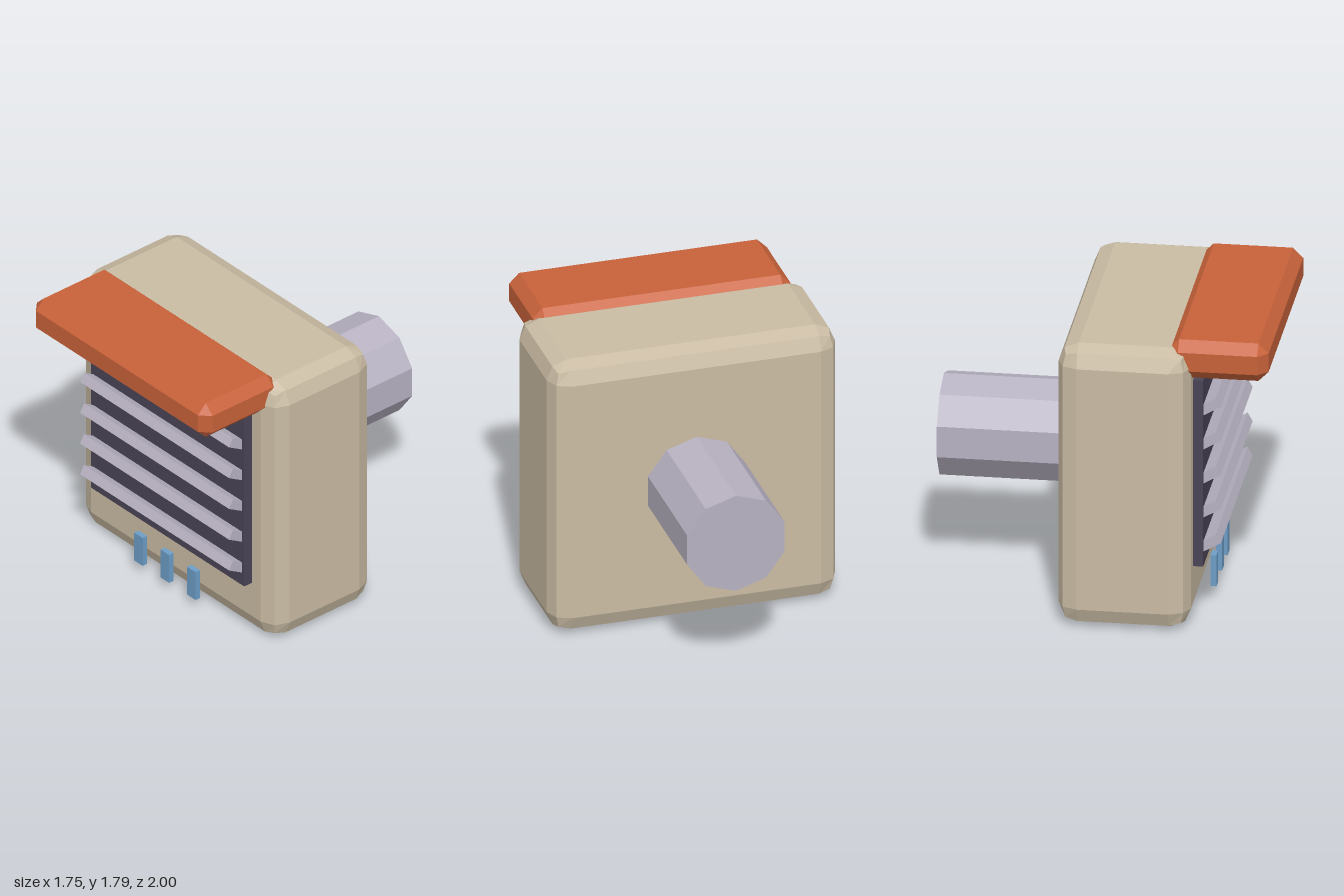
import * as THREE from 'three';
import { RoundedBoxGeometry } from 'three/addons/geometries/RoundedBoxGeometry.js';
import { ConvexGeometry } from 'three/addons/geometries/ConvexGeometry.js';

const flat = (name, color) => {
  const m = new THREE.MeshStandardMaterial({ color, flatShading: true });
  m.name = name;
  return m;
};

// Box with every edge cut once at 45 degrees
function chamferedBox(w, h, d, c) {
  const pts = [];
  const half = [w / 2, h / 2, d / 2];
  for (const sx of [-1, 1]) for (const sy of [-1, 1]) for (const sz of [-1, 1]) {
    for (let axis = 0; axis < 3; axis++) {
      const p = half.map((v, i) => (i === axis ? v : v - c));
      pts.push(new THREE.Vector3(p[0] * sx, p[1] * sy, p[2] * sz));
    }
  }
  return new ConvexGeometry(pts);
}

export function createModel() {
  const group = new THREE.Group();
  const beige = flat('beige', 0xcabca4);
  const orange = flat('orange', 0xc8623a);
  const darkPurple = flat('dark purple', 0x4a4456);
  const paleGrey = flat('pale grey', 0xb8b2c2);
  const blue = flat('blue', 0x6c9dc6);

  const add = (name, geometry, material, x, y, z) => {
    const mesh = new THREE.Mesh(geometry, material);
    mesh.name = name;
    mesh.position.set(x, y, z);
    group.add(mesh);
    return mesh;
  };

  // Housing
  add('body', new RoundedBoxGeometry(1.745, 1.75, 0.775, 1, 0.12), beige, 0, 0.875, 0.164);

  // Overhanging hood
  add('hood', chamferedBox(1.56, 0.235, 0.583, 0.06), orange, 0, 1.673, 0.7085);

  // Grille panel with tilted slats
  add('grillePanel', new THREE.BoxGeometry(1.36, 1.167, 0.08), darkPurple, 0, 0.936, 0.572);
  const slat = new THREE.BoxGeometry(1.324, 0.06, 0.14);
  for (let i = 0; i < 5; i++) {
    add('slat', slat, paleGrey, 0, 1.345 - i * 0.214, 0.637).rotation.x = -Math.PI / 6;
  }

  // Three small tabs under the grille
  const tab = new THREE.BoxGeometry(0.077, 0.193, 0.034);
  for (const i of [-1, 0, 1]) add('tab', tab, blue, i * 0.235 - 0.002, 0.157, 0.615);

  // Ten-sided exhaust pipe at the back
  const pipe = new THREE.CylinderGeometry(0.31, 0.31, 0.85, 10);
  add('pipe', pipe, paleGrey, 0, 0.88, -0.575).rotation.x = Math.PI / 2;

  return group;
}
